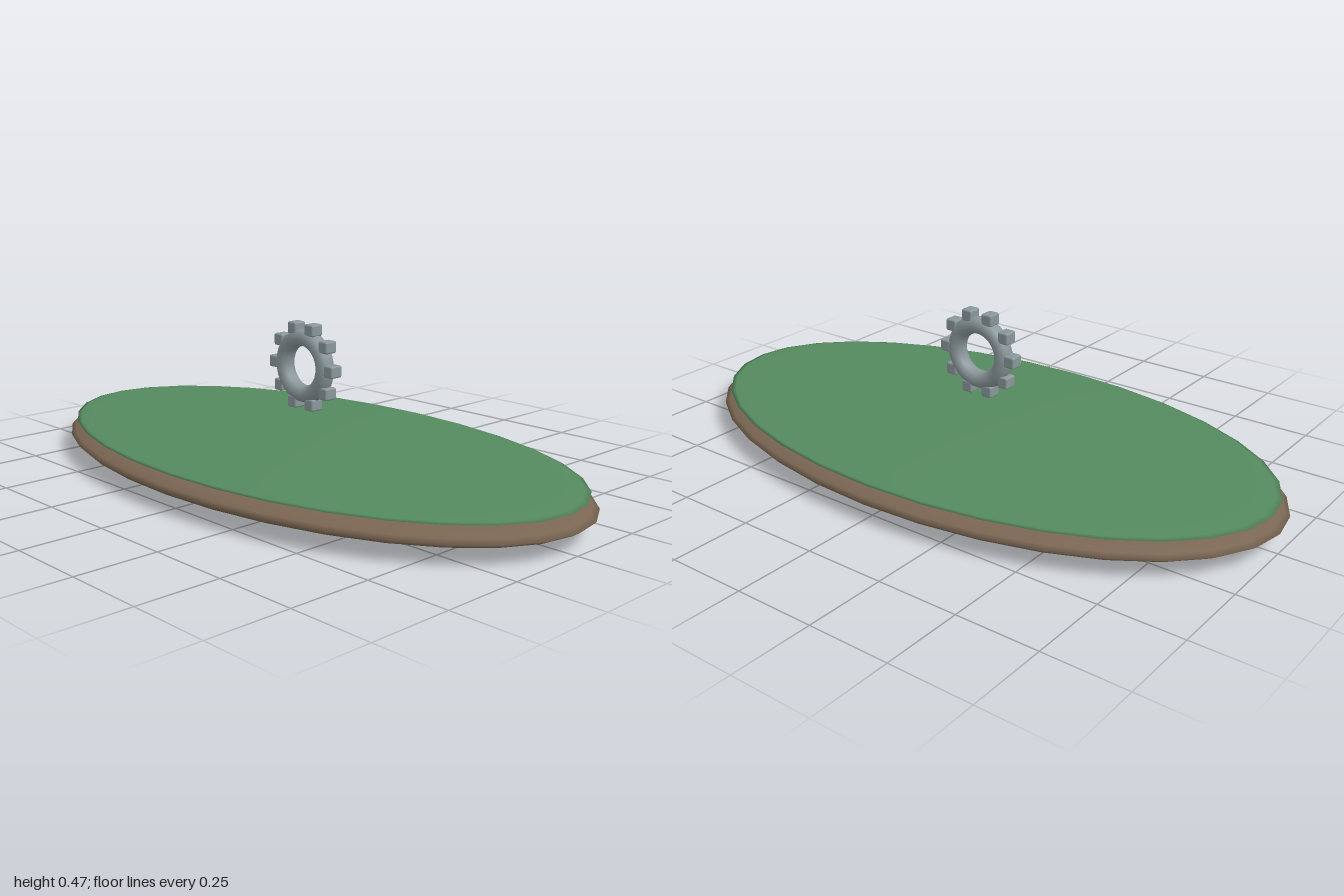
import * as THREE from 'three';
import { RoundedBoxGeometry } from 'three/addons/geometries/RoundedBoxGeometry.js';

export function createModel() {
  const group = new THREE.Group();
  const material = (name, color) => {
    const m = new THREE.MeshStandardMaterial({ color });
    m.name = name;
    return m;
  };
  const earth = material('earth brown', 0x7a6652);
  const grass = material('grass green', 0x558a5f);
  const metal = material('grey metal', 0x8a979b);

  const add = (parent, name, geometry, mat, x, y, z) => {
    const mesh = new THREE.Mesh(geometry, mat);
    mesh.name = name;
    mesh.position.set(x, y, z);
    parent.add(mesh);
    return mesh;
  };

  // Two flattened ellipsoids: earth below, grass on top
  const ball = new THREE.SphereGeometry(1, 32, 16);
  add(group, 'earthBase', ball, earth, 0, 0.06, 0).scale.set(1, 0.06, 0.545);
  add(group, 'grassTop', ball, grass, 0, 0.104, 0).scale.set(0.975, 0.019, 0.525);

  // Floating upright gear
  const gear = new THREE.Group();
  gear.name = 'gear';
  gear.position.y = 0.341;
  group.add(gear);
  add(gear, 'gearRing', new THREE.TorusGeometry(0.087, 0.027, 10, 32), metal, 0, 0, 0).scale.z = 1.1;

  // Ten rounded teeth, all kept square to the axes
  const toothShape = new RoundedBoxGeometry(0.037, 0.037, 0.044, 2, 0.006);
  for (let i = 0; i < 10; i++) {
    const a = (i / 10) * Math.PI * 2;
    add(gear, 'gearTooth' + (i + 1), toothShape, metal, 0.12 * Math.cos(a), 0.12 * Math.sin(a), 0);
  }
  return group;
}
